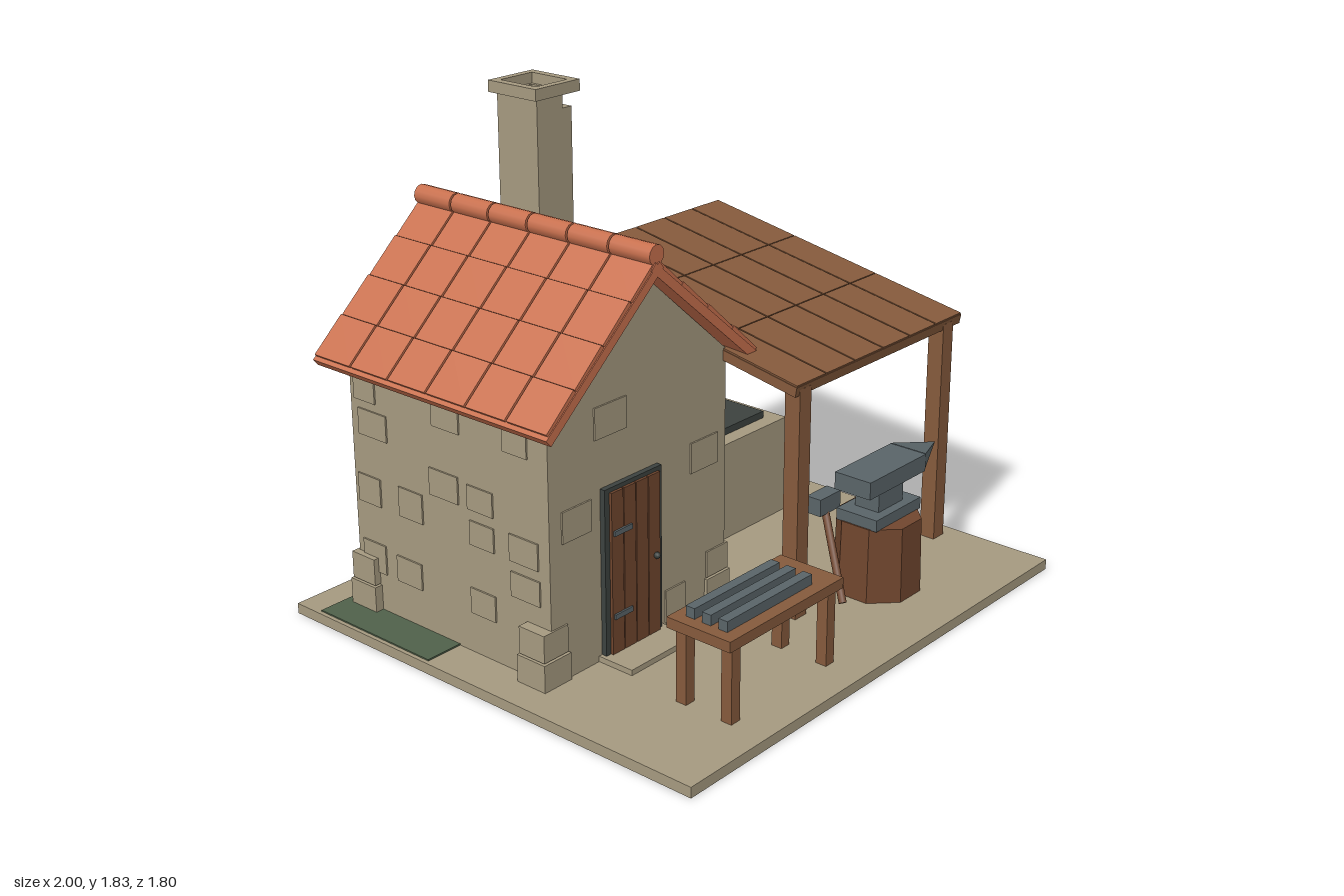
import * as THREE from 'three';

const mat = (name, color, side = THREE.FrontSide) => {
  const m = new THREE.MeshStandardMaterial({ color, side });
  m.name = name;
  return m;
};

export function createModel() {
  const stone = mat('stone', 0xa5997f);
  const tile = mat('roof tile', 0xc8704e);
  const wood = mat('wood', 0x855a3c);
  const darkWood = mat('dark wood', 0x70462e);
  const iron = mat('dark iron', 0x3c423f);
  const steel = mat('steel', 0x596468);
  const moss = mat('moss', 0x50614a);

  const model = new THREE.Group();
  model.name = 'smithy';

  const group = (name, parent = model) => {
    const g = new THREE.Group();
    g.name = name;
    parent.add(g);
    return g;
  };
  const add = (name, geo, material, parent = model) => {
    const m = new THREE.Mesh(geo, material);
    m.name = name;
    parent.add(m);
    return m;
  };
  // Box given by its minimum and maximum on each axis
  const box = (name, material, x0, x1, y0, y1, z0, z1, parent = model) => {
    const m = add(name, new THREE.BoxGeometry(x1 - x0, y1 - y0, z1 - z0), material, parent);
    m.position.set((x0 + x1) / 2, (y0 + y1) / 2, (z0 + z1) / 2);
    return m;
  };
  const shape = pts => new THREE.Shape(pts.map(p => new THREE.Vector2(...p)));
  const extrude = (s, depth) => new THREE.ExtrudeGeometry(s, { depth, bevelEnabled: false });

  // Ground
  box('base', stone, -1, 1, 0, 0.038, -0.9, 0.9);
  box('mossPatch', moss, -0.985, -0.8, 0.036, 0.043, -0.79, -0.25);
  box('doorStep', stone, -0.62, -0.31, 0.035, 0.058, 0.17, 0.325);

  // House walls with gables
  const cx = -0.405;
  const walls = add('houseWalls', extrude(shape([
    [-0.84, 0.035], [0.025, 0.035], [0.025, 0.96], [cx, 1.335], [-0.84, 0.96]]), 0.92), stone);
  walls.position.z = -0.74;

  // Corner stones
  const quoins = group('cornerStones');
  for (const [x, z] of [[-0.825, 0.13], [-0.81, -0.695], [-0.02, 0.13], [-0.025, -0.695]]) {
    for (const [y, s] of [[0.038, 0.062], [0.14, 0.056]]) {
      box('cornerStone', stone, x - s, x + s, y, y + 0.098, z - s, z + s, quoins);
    }
  }

  // Shallow raised stones scattered over the walls
  const stones = group('wallStones');
  let seed = 7;
  const rnd = () => (seed = (seed * 16807) % 2147483647) / 2147483647;
  const d = 0.006;
  for (let row = 0; row < 7; row++) {
    const y = 0.06 + row * 0.125;
    for (let i = 0; i < 5; i++) {
      const z = -0.72 + i * 0.175 + rnd() * 0.03;
      const x = -0.81 + i * 0.165 + rnd() * 0.03;
      const w = 0.1 + rnd() * 0.04, h = 0.08 + rnd() * 0.03;
      if (rnd() < 0.6) box('leftStone', stone, -0.84 - d, -0.83, y, y + h, z, z + w, stones);
      if (rnd() < 0.6) box('backStone', stone, x, x + w, y, y + h, -0.74 - d, -0.73, stones);
      if (rnd() < 0.3) box('rightStone', stone, 0.02, 0.025 + d, y, y + h, z, z + w, stones);
    }
  }
  for (const [x, y, w, h] of [[-0.785, 0.525, 0.135, 0.11], [-0.63, 0.83, 0.15, 0.11],
    [-0.29, 0.05, 0.1, 0.12], [-0.16, 0.56, 0.14, 0.11], [-0.82, 0.57, 0.12, 0.11]].slice(0, 4)) {
    box('frontStone', stone, x, x + w, y, y + h, 0.175, 0.18 + d, stones);
  }

  // Tiled roof: a slab and 4 x 6 tiles on each slope
  const roof = group('houseRoof');
  const pitch = 0.705, slope = 0.672, z0 = -0.83, step = 1.085 / 6;
  for (const side of [-1, 1]) {
    const half = group('roofSlope', roof);
    half.position.set(cx, 1.393, 0);
    half.rotation.z = -side * pitch;
    const span = (a, b) => (side > 0 ? [a, b] : [-b, -a]);
    box('roofSlab', tile, ...span(0, 0.685), -0.045, -0.013, z0, z0 + 1.085, half);
    for (let r = 0; r < 4; r++) {
      for (let c = 0; c < 6; c++) {
        const t = box('roofTile', tile, ...span(r * slope / 4, (r + 1) * slope / 4 - 0.003),
          -0.02, 0, z0 + c * step + 0.004, z0 + (c + 1) * step - 0.004, half);
        t.rotation.z = -side * 0.03;
      }
    }
  }
  for (let c = 0; c < 6; c++) {
    const cap = add('ridgeTile', new THREE.CylinderGeometry(0.035, 0.035, step - 0.008, 12), tile, roof);
    cap.rotation.x = Math.PI / 2;
    cap.position.set(cx, 1.405, z0 + (c + 0.5) * step);
  }

  // Hollow chimney; its top course has a missing corner
  const chimney = group('chimney');
  const ring = (name, w, dz, hw, hd, y0, h) => {
    const s = shape([[-w, -dz], [w, -dz], [w, dz], [-w, dz]]);
    s.holes.push(new THREE.Path([[-hw, -hd], [-hw, hd], [hw, hd], [hw, -hd]].map(p => new THREE.Vector2(...p))));
    const m = add(name, extrude(s, h), stone, chimney);
    m.rotation.x = -Math.PI / 2;
    m.position.set(-0.228, y0, -0.445);
  };
  ring('chimneyShaft', 0.082, 0.092, 0.06, 0.07, 1.1, 0.64);
  const course = add('brokenCourse', extrude(shape([
    [0.04, -0.092], [0.04, -0.07], [-0.06, -0.07], [-0.06, 0.07], [0.06, 0.07], [0.06, -0.05],
    [0.082, -0.05], [0.082, 0.092], [-0.082, 0.092], [-0.082, -0.092]]), 0.055), stone, chimney);
  course.rotation.x = -Math.PI / 2;
  course.position.set(-0.228, 1.738, -0.445);
  ring('chimneyCap', 0.105, 0.11, 0.074, 0.082, 1.79, 0.04);
  box('flue', iron, -0.29, -0.166, 1.6, 1.7, -0.517, -0.373, chimney);

  // Door
  const door = group('door');
  box('doorFrame', iron, -0.605, -0.328, 0.05, 0.655, 0.17, 0.2, door);
  for (let i = 0; i < 4; i++) {
    const x = -0.583 + i * 0.06;
    box('doorPlank', darkWood, x, x + 0.056, 0.055, 0.64, 0.19, 0.21, door);
  }
  for (const y of [0.195, 0.495]) box('hinge', steel, -0.575, -0.49, y - 0.009, y + 0.009, 0.205, 0.217, door);
  const knob = add('doorKnob', new THREE.SphereGeometry(0.012, 8, 6), iron, door);
  knob.position.set(-0.37, 0.345, 0.217);

  // Lean-to shelter on two posts
  const shelter = group('shelter');
  for (const x of [0.032, 0.875]) box('post', wood, x, x + 0.062, 0.035, 0.885, 0.43, 0.492, shelter);
  const canopy = group('canopy', shelter);
  canopy.position.set(0.498, 0.904, 0.495);
  canopy.rotation.x = 0.1814;
  const len = 1.164;
  box('canopySlab', wood, -0.487, 0.487, -0.042, -0.006, -len, 0, canopy);
  for (let c = 0; c < 6; c++) {
    for (let r = 0; r < 3; r++) {
      const x = -0.487 + c * 0.1623, z = -len + r * len / 3;
      box('canopyBoard', wood, x + 0.003, x + 0.1593, -0.01, 0, z + 0.002, z + len / 3 - 0.002, canopy);
    }
  }

  // Forge with glowing coals
  const forge = group('forge');
  box('forgeBlock', stone, 0.2, 0.73, 0.036, 0.418, -0.52, -0.1, forge);
  box('coalTray', iron, 0.27, 0.668, 0.415, 0.445, -0.465, -0.16, forge);
  [[0.42, -0.22, 0.027], [0.5, -0.25, 0.035], [0.44, -0.285, 0.028], [0.5, -0.37, 0.035], [0.4, -0.36, 0.028]]
    .forEach(([x, z, r], i) => {
      const coal = add('coal', new THREE.IcosahedronGeometry(r, 0), tile, forge);
      coal.position.set(x, 0.44 + r * 0.8, z);
      coal.rotation.set(i, i * 2, 0);
    });

  // Anvil on a stump
  const anvil = group('anvil');
  const az = 0.545;
  const stumpGeo = new THREE.CylinderGeometry(0.152, 0.158, 0.28, 8).toNonIndexed();
  stumpGeo.computeVertexNormals();
  const stump = add('stump', stumpGeo, darkWood, anvil);
  stump.position.set(0.435, 0.177, az);
  stump.rotation.y = Math.PI / 8;
  box('anvilFoot', steel, 0.3, 0.565, 0.315, 0.358, az - 0.085, az + 0.085, anvil);
  box('anvilWaist', steel, 0.36, 0.505, 0.355, 0.445, az - 0.05, az + 0.05, anvil);
  box('anvilBody', steel, 0.27, 0.602, 0.443, 0.507, az - 0.075, az + 0.075, anvil);
  const hornGeo = new THREE.CylinderGeometry(0.003, Math.SQRT1_2, 0.17, 4).toNonIndexed();
  hornGeo.rotateY(Math.PI / 4);
  hornGeo.rotateZ(-Math.PI / 2);
  hornGeo.scale(1, 0.058, 0.15);
  hornGeo.computeVertexNormals();
  add('anvilHorn', hornGeo, steel, anvil).position.set(0.686, 0.48, az);

  // Hammer leaning against the stump
  const hammer = group('hammer');
  const a = new THREE.Vector3(0.157, 0.09, 0.6), b = new THREE.Vector3(0.262, 0.385, 0.43);
  const handle = add('hammerHandle', new THREE.CylinderGeometry(0.014, 0.014, a.distanceTo(b), 8), darkWood, hammer);
  handle.position.copy(a).lerp(b, 0.5);
  handle.quaternion.setFromUnitVectors(new THREE.Vector3(0, 1, 0), b.clone().sub(a).normalize());
  box('hammerHead', steel, 0.205, 0.32, 0.355, 0.418, 0.4, 0.46, hammer);

  // Bench with three metal bars
  const bench = group('bench');
  box('benchTop', wood, -0.675, -0.095, 0.305, 0.343, 0.522, 0.78, bench);
  for (const x of [-0.65, -0.16]) for (const z of [0.54, 0.725]) {
    box('benchLeg', wood, x, x + 0.042, 0.035, 0.306, z, z + 0.042, bench);
  }
  for (const z of [0.583, 0.649, 0.715]) box('metalBar', steel, -0.632, -0.203, 0.342, 0.38, z - 0.018, z + 0.018, bench);

  return model;
}
